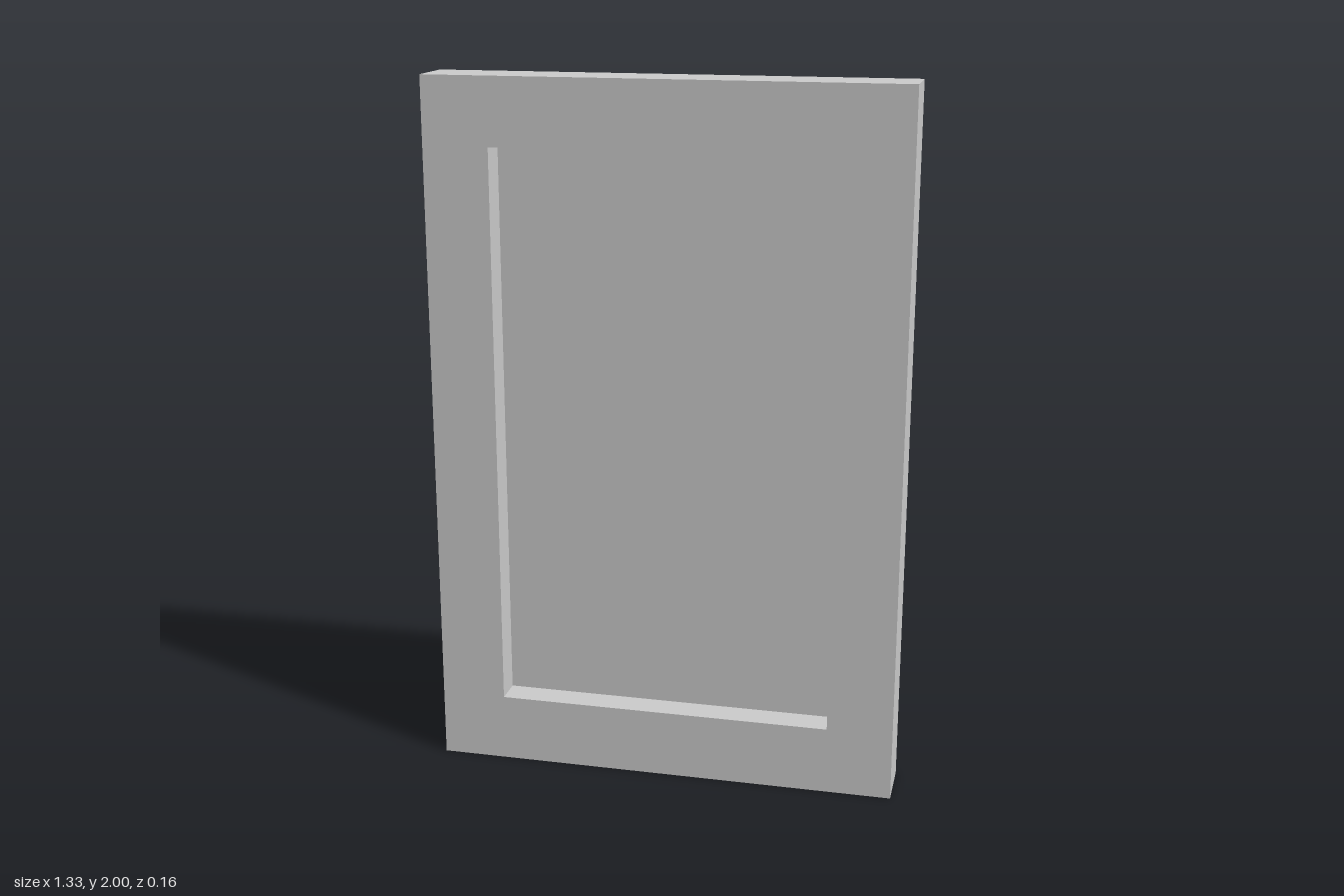
import * as THREE from 'three';

const WIDTH = 1.333, HEIGHT = 2, DEPTH = 0.16;
const OPEN_X = 0.48, OPEN_BOTTOM = 0.195, OPEN_TOP = 1.81;
const RECESS = 0.083; // how far the panel sits behind the frame's front

// Traces a rectangle onto a Shape or Path
function rect(path, x, y0, y1) {
  path.moveTo(-x, y0);
  path.lineTo(x, y0);
  path.lineTo(x, y1);
  path.lineTo(-x, y1);
  path.closePath();
  return path;
}

export function createModel() {
  const group = new THREE.Group();
  group.name = 'framedPanel';
  const material = new THREE.MeshStandardMaterial({ color: 0xcccccc });

  // Border with a rectangular opening, flush with the front
  const outline = rect(new THREE.Shape(), WIDTH / 2, 0, HEIGHT);
  outline.holes.push(rect(new THREE.Path(), OPEN_X, OPEN_BOTTOM, OPEN_TOP));
  const frame = new THREE.Mesh(
    new THREE.ExtrudeGeometry(outline, { depth: RECESS, bevelEnabled: false }),
    material
  );
  frame.name = 'frame';
  frame.position.z = DEPTH / 2 - RECESS;
  group.add(frame);

  // Solid backing whose front face is the recessed panel
  const thickness = DEPTH - RECESS;
  const panel = new THREE.Mesh(new THREE.BoxGeometry(WIDTH, HEIGHT, thickness), material);
  panel.name = 'backPanel';
  panel.position.set(0, HEIGHT / 2, -DEPTH / 2 + thickness / 2);
  group.add(panel);

  return group;
}
